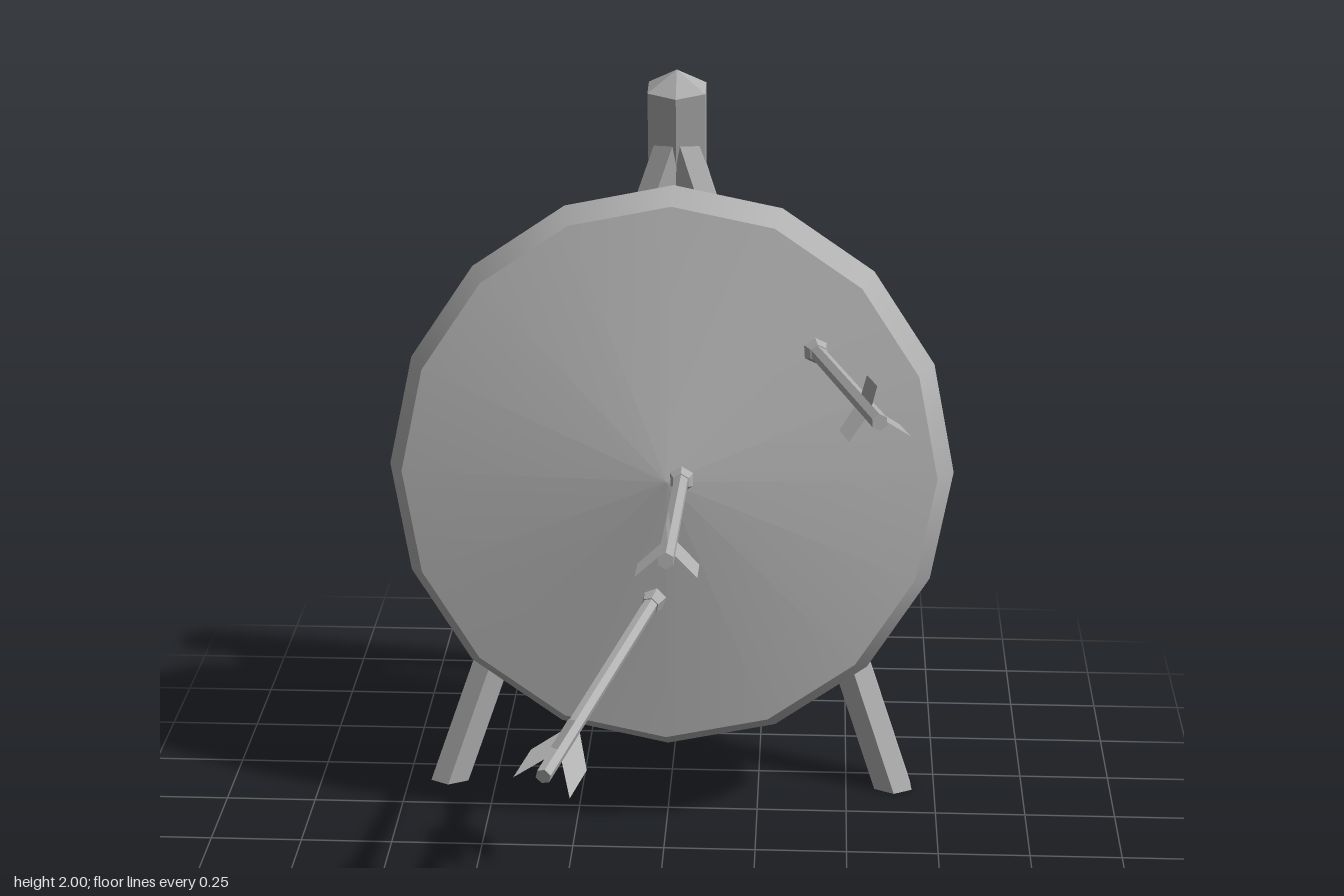
import * as THREE from 'three';

const grey = new THREE.MeshStandardMaterial({ color: 0xb0b0b0, side: THREE.DoubleSide });
const V = (x, y, z) => new THREE.Vector3(x, y, z);

function addMesh(parent, name, geometry) {
  const mesh = new THREE.Mesh(geometry, grey);
  mesh.name = name;
  parent.add(mesh);
  return mesh;
}

// Gives every face its own flat normal
function faceted(geometry) {
  const g = geometry.index ? geometry.toNonIndexed() : geometry;
  g.computeVertexNormals();
  return g;
}

// Six-sided timber from a to b; ends standing on the ground are cut level
function beam(a, b, rx, ry = rx) {
  const len = a.distanceTo(b);
  const dir = b.clone().sub(a).normalize();
  const g = new THREE.CylinderGeometry(1, 1, len, 6);
  g.rotateX(Math.PI / 2);
  g.scale(rx, ry, 1);
  const m = new THREE.Matrix4().lookAt(b, a, V(0, 1, 0));
  m.setPosition(a.clone().add(b).multiplyScalar(0.5));
  g.applyMatrix4(m);
  if (a.y === 0) {
    const p = g.attributes.position;
    const v = V(0, 0, 0);
    for (let i = 0; i < p.count; i++) {
      v.fromBufferAttribute(p, i);
      if (v.y > 0.2) continue;
      v.addScaledVector(dir, -v.y / dir.y);
      p.setXYZ(i, v.x, v.y, v.z);
    }
  }
  return faceted(g);
}

function createStand() {
  const stand = new THREE.Group();
  stand.name = 'stand';

  // Rear post with a low pointed cap
  const foot = V(0, 0, -0.878), head = V(0, 1.947, -0.503);
  addMesh(stand, 'rearPost', beam(foot, head, 0.0918, 0.08));
  const cap = new THREE.ConeGeometry(1, 0.055, 6, 1, true);
  cap.translate(0, 0.0275, 0);
  cap.rotateX(Math.PI / 2);
  cap.scale(0.0918, 0.08, 1);
  cap.applyMatrix4(new THREE.Matrix4().lookAt(head, foot, V(0, 1, 0)).setPosition(head));
  addMesh(stand, 'postCap', faceted(cap));

  // Front legs and the triangle of braces
  const braceY = 0.48;
  const joint = (s) => V(s * 0.46, braceY, -0.267);
  for (const s of [1, -1]) {
    const side = s > 0 ? 'left' : 'right';
    addMesh(stand, side + 'FrontLeg', beam(V(s * 0.632, 0, -0.175), V(s * 0.008, 1.79, -0.515), 0.058));
    addMesh(stand, side + 'Brace', beam(V(0, braceY, -0.785), joint(s), 0.053));
  }
  addMesh(stand, 'frontBrace', beam(joint(-1), joint(1), 0.053));
  return stand;
}

// Round butt: smooth bands with sharp edges between them, gently coned face
function createTarget() {
  const target = new THREE.Group();
  target.name = 'target';
  const bands = [
    ['targetBack', 0, -0.148, 0.724, -0.148],
    ['rearRim', 0.724, -0.148, 0.777, 0],
    ['frontRim', 0.777, 0, 0.728, 0.138],
    ['targetFace', 0.728, 0.138, 0, 0.258],
  ];
  for (const [name, r0, y0, r1, y1] of bands) {
    const profile = [new THREE.Vector2(r0, y0), new THREE.Vector2(r1, y1)];
    addMesh(target, name, new THREE.LatheGeometry(profile, 16));
  }
  target.position.set(0, 0.9625, -0.152);
  target.rotation.x = Math.PI / 2 - 0.198;
  return target;
}

// Arrow with a flared collar at the face and three swallow-tailed vanes
function createArrow(tip, tail, roll) {
  const arrow = new THREE.Group();
  arrow.name = 'arrow';
  const len = tip.distanceTo(tail);

  const shaft = new THREE.CylinderGeometry(0.021, 0.021, len, 6);
  shaft.rotateX(Math.PI / 2);
  shaft.translate(0, 0, len / 2);
  addMesh(arrow, 'shaft', faceted(shaft));

  const collar = new THREE.CylinderGeometry(0.024, 0.036, 0.035, 6);
  collar.rotateX(Math.PI / 2);
  collar.translate(0, 0, 0.01);
  addMesh(arrow, 'collar', faceted(collar));

  const outline = [[0, 0.26], [0.088, 0.14], [0.088, 0.01], [0, 0.12]];
  const vane = new THREE.ShapeGeometry(
    new THREE.Shape(outline.map(([r, t]) => new THREE.Vector2(len - t, r))));
  vane.rotateY(-Math.PI / 2);
  for (let i = 0; i < 3; i++) {
    addMesh(arrow, 'vane', vane).rotation.z = (i * 2 * Math.PI) / 3;
  }

  arrow.position.copy(tip);
  arrow.lookAt(tail);
  arrow.rotateZ(roll);
  return arrow;
}

export function createModel() {
  const model = new THREE.Group();
  model.name = 'archeryTarget';
  model.add(
    createStand(),
    createTarget(),
    createArrow(V(0.04, 1.02, 0.1), V(0.04, 1.13, 0.96), 0),
    createArrow(V(0.395, 1.34, -0.045), V(0.55, 1.44, 0.81), 0.05),
    createArrow(V(-0.035, 0.675, 0.11), V(-0.265, 0.545, 0.95), -0.26),
  );
  return model;
}
